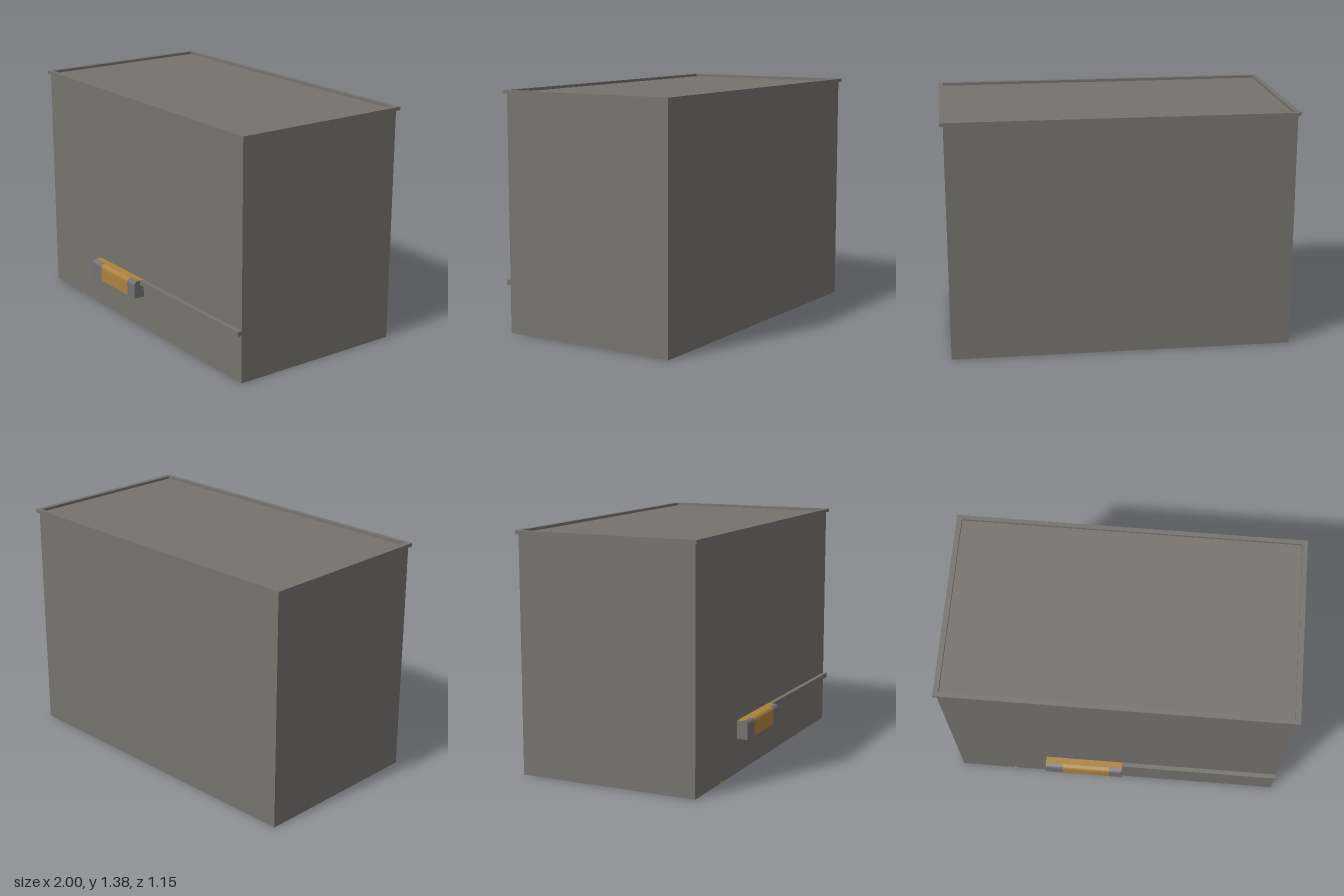
import * as THREE from 'three';

const flat = (name, color) =>
  new THREE.MeshStandardMaterial({ name, color, side: THREE.DoubleSide });

const X0 = -0.985, X1 = 0.981;      // side walls
const ZB = -0.56, ZF = 0.508;       // back and front walls
const EAVE = 1.363, TOP = 1.383;    // underside and top of the roof rim

// Sweeps an open [z, y] profile along x into a sheet
function sheet(profile, x0, x1) {
  const pos = [];
  for (let i = 0; i < profile.length - 1; i++) {
    const [za, ya] = profile[i], [zb, yb] = profile[i + 1];
    const a = [x0, ya, za], b = [x1, ya, za], c = [x1, yb, zb], d = [x0, yb, zb];
    pos.push(...a, ...b, ...c, ...a, ...c, ...d);
  }
  const g = new THREE.BufferGeometry();
  g.setAttribute('position', new THREE.Float32BufferAttribute(pos, 3));
  g.computeVertexNormals();
  return g;
}

// Closes the end of a swept profile at x, facing outward along dir
function endCap(profile, x, dir) {
  const shape = new THREE.Shape(profile.map(([z, y]) => new THREE.Vector2(-dir * z, y)));
  const g = new THREE.ShapeGeometry(shape);
  g.rotateY(dir * Math.PI / 2);
  g.translate(x, 0, 0);
  return g;
}

function rectangle(path, x0, y0, x1, y1) {
  path.moveTo(x0, y0);
  path.lineTo(x1, y0);
  path.lineTo(x1, y1);
  path.lineTo(x0, y1);
  path.closePath();
  return path;
}

export function createModel() {
  const model = new THREE.Group();
  const wall = flat('wall grey', 0x75736e);
  const roof = flat('roof grey', 0x76726d);
  const steel = flat('cool grey', 0x717175);
  const orange = flat('ochre', 0xab823c);

  const add = (name, geometry, material, parent = model) => {
    const mesh = new THREE.Mesh(geometry, material);
    mesh.name = name;
    parent.add(mesh);
    return mesh;
  };

  // Canopy and ledge limits on the front wall
  const cx0 = -0.437, cx1 = 0.033, cy0 = 0.2, cy1 = 0.306, cz = 0.573;
  const ly0 = 0.278, lz = 0.534;

  // Front wall, open behind the hollow canopy and ledge
  const front = rectangle(new THREE.Shape(), X0, 0, X1, EAVE);
  const hole = new THREE.Path();
  hole.moveTo(cx0, cy0);
  hole.lineTo(cx1, cy0);
  hole.lineTo(cx1, ly0);
  hole.lineTo(X1 - 0.001, ly0);
  hole.lineTo(X1 - 0.001, cy1);
  hole.lineTo(cx0, cy1);
  hole.closePath();
  front.holes.push(hole);
  add('frontWall', new THREE.ShapeGeometry(front), wall).position.z = ZF;

  // Back and side walls, with no floor
  const midX = (X0 + X1) / 2, midZ = (ZB + ZF) / 2;
  const back = add('backWall', new THREE.PlaneGeometry(X1 - X0, EAVE), wall);
  back.position.set(midX, EAVE / 2, ZB);
  back.rotation.y = Math.PI;
  for (const [name, x, turn] of [['leftWall', X1, 1], ['rightWall', X0, -1]]) {
    const side = add(name, new THREE.PlaneGeometry(ZF - ZB, EAVE), wall);
    side.position.set(x, EAVE / 2, midZ);
    side.rotation.y = turn * Math.PI / 2;
  }

  // Raised rim around the recessed flat roof
  const rim = rectangle(new THREE.Shape(), -1, -0.522, 1, 0.573);
  rim.holes.push(rectangle(new THREE.Path(), -0.97, -0.495, 0.97, 0.548));
  const rimGeometry = new THREE.ExtrudeGeometry(rim, { depth: TOP - EAVE, bevelEnabled: false });
  rimGeometry.rotateX(-Math.PI / 2);
  add('roofRim', rimGeometry, wall).position.y = EAVE;
  const deck = add('roofDeck', new THREE.PlaneGeometry(X1 - X0, ZF - ZB), roof);
  deck.rotation.x = -Math.PI / 2;
  deck.position.set(midX, EAVE + 0.004, midZ);

  // Canopy: rounded front, ochre top and ochre middle panel
  const canopy = new THREE.Group();
  canopy.name = 'canopy';
  model.add(canopy);
  const r = 0.026;
  const face = [[ZF, cy0], [cz, cy0]];
  for (let i = 0; i <= 4; i++) {
    const a = i / 4 * Math.PI / 2;
    face.push([cz - r + r * Math.cos(a), cy1 - r + r * Math.sin(a)]);
  }
  const outline = [...face, [ZF, cy1]];
  const p0 = -0.333, p1 = -0.045;
  add('canopyRightFace', sheet(face, cx0, p0), steel, canopy);
  add('canopyPanel', sheet(face, p0, p1), orange, canopy);
  add('canopyLeftFace', sheet(face, p1, cx1), steel, canopy);
  add('canopyTop', sheet([[cz - r, cy1], [ZF, cy1]], cx0, cx1), orange, canopy);
  add('canopyRightEnd', endCap(outline, cx0, -1), wall, canopy);
  add('canopyLeftEnd', endCap(outline, cx1, 1), wall, canopy);

  // Narrow ledge running from the canopy to the left corner
  const ledge = [[ZF, ly0], [lz, ly0], [lz, cy1], [ZF, cy1]];
  add('ledge', sheet(ledge, cx1, X1), wall);
  add('ledgeEnd', endCap(ledge, X1, 1), wall);

  // Small marker at the foot of the front wall
  add('footMarker', new THREE.BoxGeometry(0.02, 0.008, 0.004), orange)
    .position.set(-0.65, 0.004, ZF + 0.002);

  return model;
}
